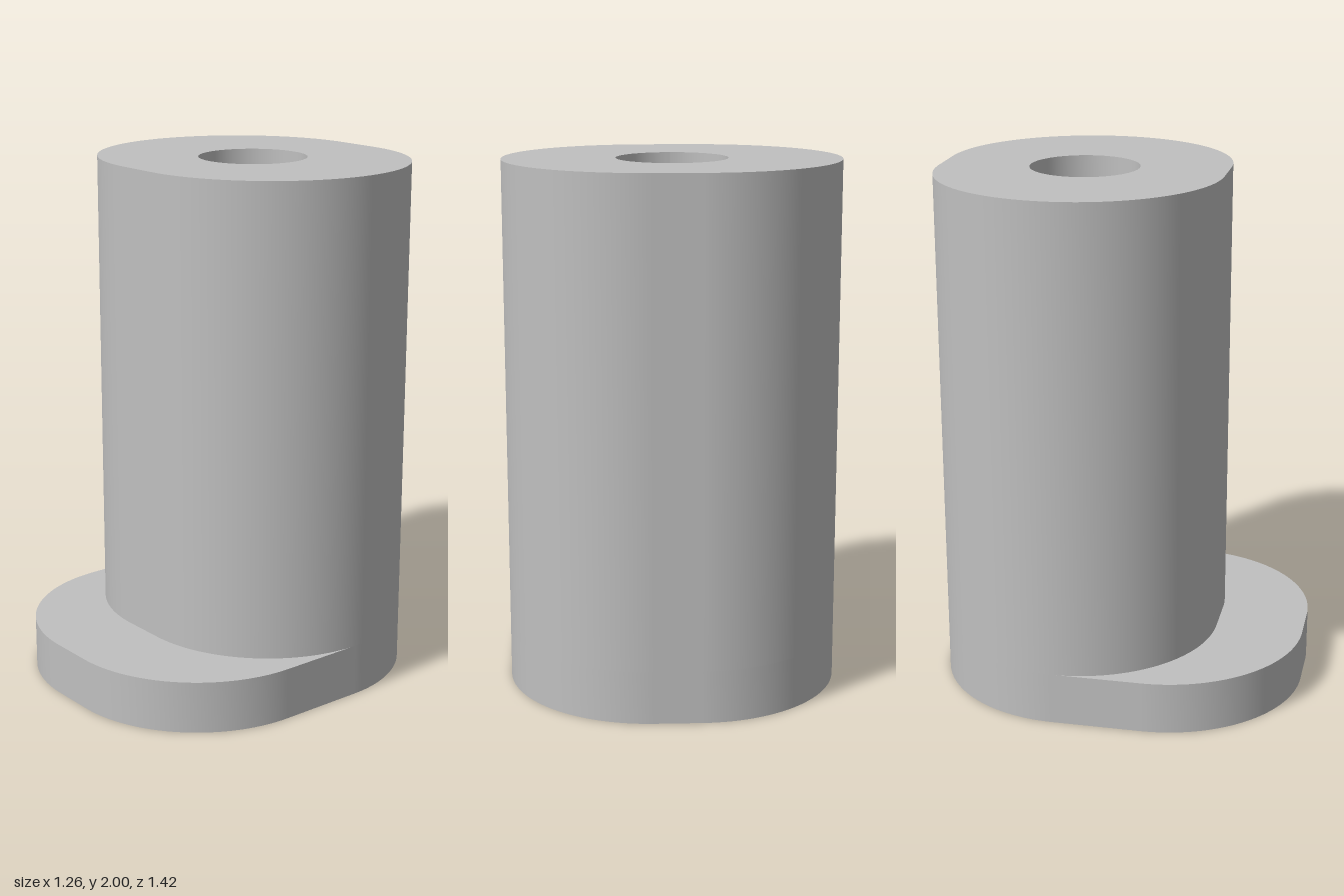
import * as THREE from 'three';

const R = 0.54, CX = 0.088, CZ = 0.17;      // corner radius, corner centres
const BORE = 0.208, COUNTERBORE = 0.388;    // hole radii
const FOOT = 0.2, LEDGE = 1.2, TOP = 2;     // heights
const SEG = 20;

// Rounded outline, anticlockwise in (x, -z), starting mid flat side
function outline(low, high) {
  const s = new THREE.Shape();
  s.moveTo(0, low - R);
  s.lineTo(CX, low - R);
  s.absarc(CX, low, R, -Math.PI / 2, 0, false);
  s.absarc(CX, high, R, 0, Math.PI / 2, false);
  s.absarc(-CX, high, R, Math.PI / 2, Math.PI, false);
  s.absarc(-CX, low, R, Math.PI, Math.PI * 1.5, false);
  s.closePath();
  return s;
}

function circle(y, r) {
  const s = new THREE.Shape();
  s.absarc(0, y, r, 0, Math.PI * 2, false);
  return s;
}

// Flat face; a downward face takes its shape in (x, z)
function cap(shape, y, down = false) {
  return new THREE.ShapeGeometry(shape, SEG)
    .rotateX(down ? Math.PI / 2 : -Math.PI / 2).translate(0, y, 0);
}

// Smooth upright wall along an outline
function wall(shape, y0, y1, inward = false) {
  const pts = shape.getPoints(SEG), pos = [], idx = [];
  pts.forEach((p, i) => {
    pos.push(p.x, y0, -p.y, p.x, y1, -p.y);
    if (i === pts.length - 1) return;
    const a = 2 * i;
    if (inward) idx.push(a, a + 1, a + 2, a + 2, a + 1, a + 3);
    else idx.push(a, a + 2, a + 1, a + 2, a + 3, a + 1);
  });
  const g = new THREE.BufferGeometry();
  g.setAttribute('position', new THREE.Float32BufferAttribute(pos, 3));
  g.setIndex(idx);
  g.computeVertexNormals();
  return g;
}

// Inside surface of a round hole
function hole(r, y0, y1) {
  const g = new THREE.CylinderGeometry(r, r, y1 - y0, 64, 1, true);
  const i = g.index.array;
  for (let k = 0; k < i.length; k += 3) [i[k], i[k + 1]] = [i[k + 1], i[k]];
  g.computeVertexNormals();
  return g.translate(0, (y0 + y1) / 2, -CZ);
}

export function createModel() {
  const group = new THREE.Group();
  const grey = new THREE.MeshStandardMaterial({ color: 0xc0c0c0 });
  grey.name = 'grey';
  const add = (name, geometry) => {
    const m = new THREE.Mesh(geometry, grey);
    m.name = name;
    group.add(m);
  };

  // Upright sleeve
  const body = outline(CZ, CZ);
  add('sleeveWall', wall(body, FOOT, TOP));
  const top = outline(CZ, CZ);
  top.holes.push(circle(CZ, BORE));
  add('sleeveTop', cap(top, TOP));

  // Foot that reaches forward from under the sleeve
  add('footWall', wall(outline(-CZ, CZ), 0, FOOT));
  const bottom = outline(-CZ, CZ);
  bottom.holes.push(circle(-CZ, COUNTERBORE));
  add('footBottom', cap(bottom, 0, true));

  // Top of the foot: the crescent in front of the sleeve
  const lip = new THREE.Shape();
  lip.moveTo(-CX - R, CZ);
  lip.lineTo(-CX - R, -CZ);
  lip.absarc(-CX, -CZ, R, Math.PI, Math.PI * 1.5, false);
  lip.absarc(CX, -CZ, R, -Math.PI / 2, 0, false);
  lip.lineTo(CX + R, CZ);
  lip.absarc(CX, CZ, R, 0, -Math.PI / 2, true);
  lip.absarc(-CX, CZ, R, Math.PI * 1.5, Math.PI, true);
  add('footTop', cap(lip, FOOT));

  // Stepped hole: narrow above, wide below
  add('bore', hole(BORE, LEDGE, TOP));
  add('counterbore', hole(COUNTERBORE, 0, LEDGE));
  const ring = circle(-CZ, COUNTERBORE);
  ring.holes.push(circle(-CZ, BORE));
  add('boreLedge', cap(ring, LEDGE, true));

  return group;
}
